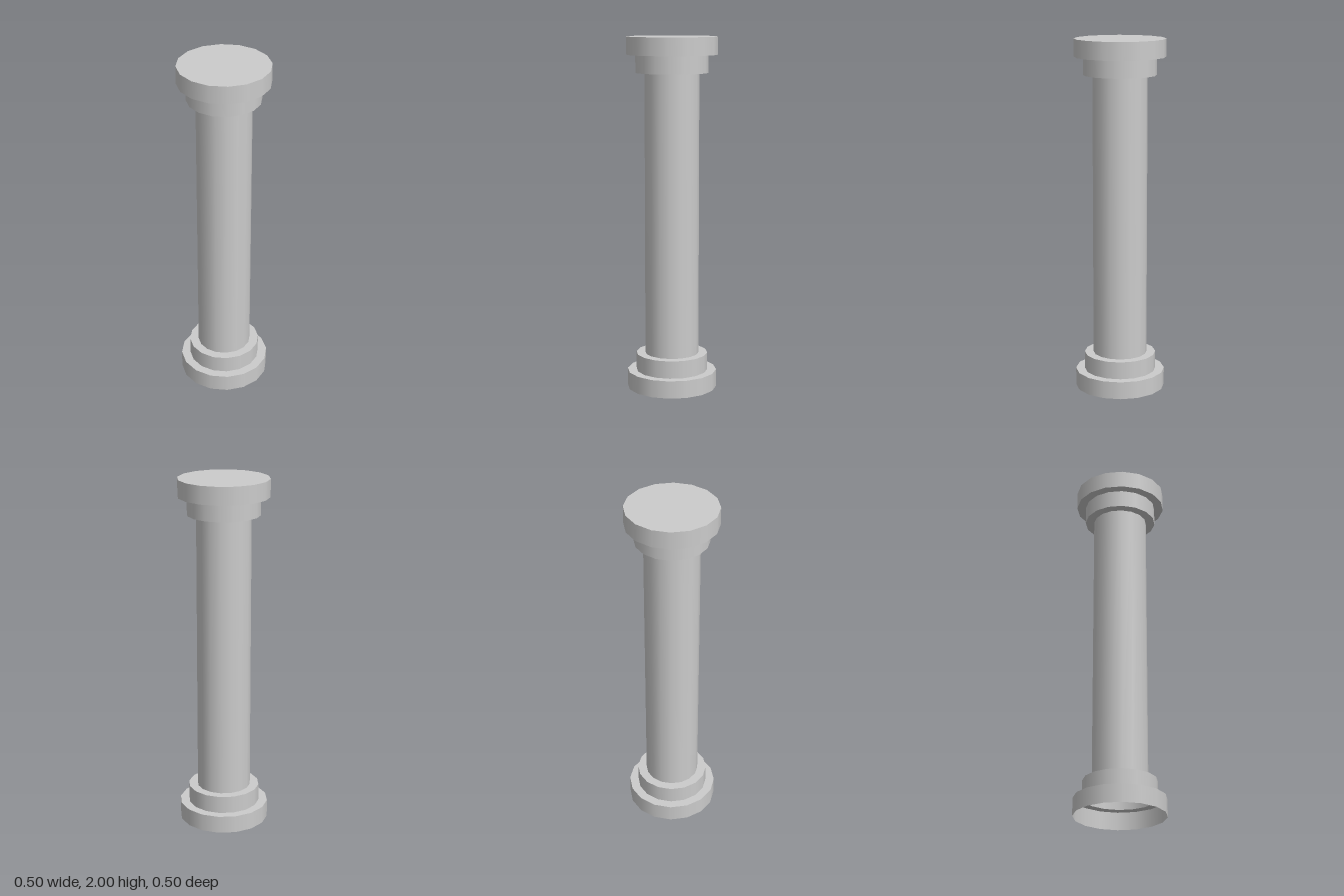
import * as THREE from 'three';

const SIDES = 16;
const START = Math.PI / SIDES; // flats face the x and z axes

// circumradius for a given distance from the axis to a flat
const radius = (flat) => flat / Math.cos(Math.PI / SIDES);

export function createModel() {
  const group = new THREE.Group();
  group.name = 'column';
  const material = new THREE.MeshStandardMaterial({ color: 0xcccccc, side: THREE.DoubleSide });

  const add = (name, geometry, y) => {
    const mesh = new THREE.Mesh(geometry, material);
    mesh.name = name;
    mesh.position.y = y;
    group.add(mesh);
  };

  // smooth open wall between two heights
  const wall = (name, flat, y0, y1) => {
    const r = radius(flat);
    add(name, new THREE.CylinderGeometry(r, r, y1 - y0, SIDES, 1, true, START), (y0 + y1) / 2);
  };

  // flat step between two walls, facing up or down
  const step = (name, inner, outer, y, up) => {
    const ring = new THREE.RingGeometry(radius(inner), radius(outer), SIDES, 1, START);
    add(name, ring.rotateX(up ? -Math.PI / 2 : Math.PI / 2), y);
  };

  // base, hollow and open underneath
  wall('basePlinth', 0.25, 0, 0.1);
  step('basePlinthLedge', 0.2, 0.25, 0.1, true);
  wall('baseCollar', 0.2, 0.1, 0.2);
  step('baseCollarLedge', 0.15, 0.2, 0.2, true);

  // shaft
  wall('shaft', 0.15, 0.2, 1.8);

  // capital, closed on top
  step('capitalCollarUnderside', 0.15, 0.2, 1.8, false);
  wall('capitalCollar', 0.2, 1.8, 1.9);
  step('capitalSlabUnderside', 0.2, 0.25, 1.9, false);
  wall('capitalSlab', 0.25, 1.9, 2);
  add('capitalTop', new THREE.CircleGeometry(radius(0.25), SIDES, START).rotateX(-Math.PI / 2), 2);

  return group;
}
